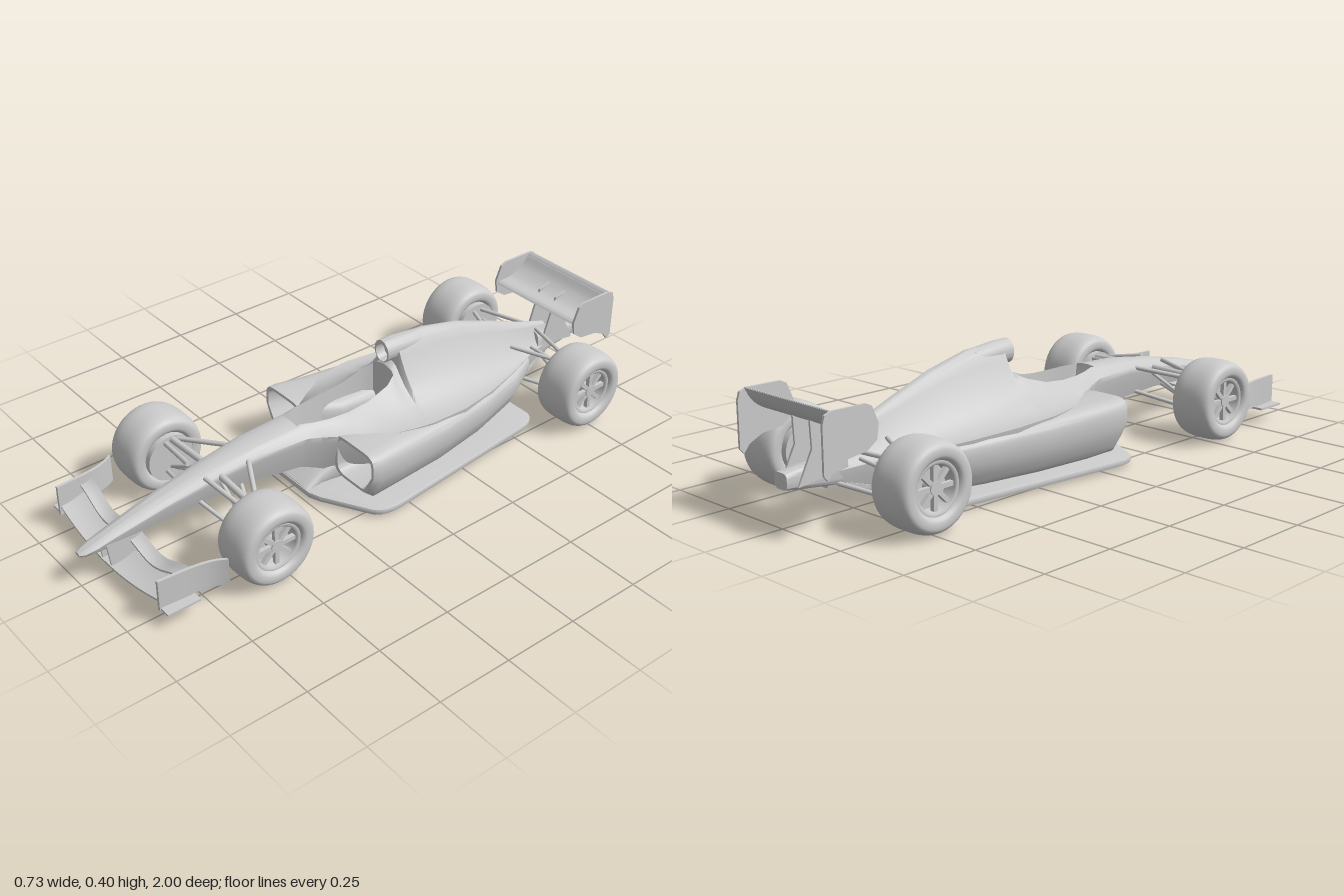
import * as THREE from 'three';
import { toCreasedNormals, mergeVertices } from 'three/addons/utils/BufferGeometryUtils.js';

const mat = new THREE.MeshStandardMaterial({ color: 0xcccccc });
const thin = new THREE.MeshStandardMaterial({ color: 0xcccccc, side: THREE.DoubleSide });
const V = (x, y, z) => new THREE.Vector3(x, y, z);

export function createModel() {
  const model = new THREE.Group();
  const add = (name, geo, m = mat, parent = model) => {
    const mesh = new THREE.Mesh(geo, m);
    mesh.name = name;
    parent.add(mesh);
    return mesh;
  };
  const crease = (geo, angle = 0.7) => toCreasedNormals(geo, angle);

  // Skin closed rings (clockwise seen from the front), capped at both ends
  function loft(rings, mirrored = false) {
    const n = rings[0].length, pos = [], idx = [];
    rings.flat().forEach(p => pos.push(p.x, p.y, p.z));
    for (let i = 0; i < rings.length - 1; i++) for (let j = 0; j < n; j++) {
      const a = i * n + j, b = i * n + (j + 1) % n;
      idx.push(a, b, a + n, b, b + n, a + n);
    }
    [0, rings.length - 1].forEach((r, end) => {
      const c = rings[r].reduce((s, p) => s.add(p), V(0, 0, 0)).divideScalar(n);
      const k = pos.length / 3;
      pos.push(c.x, c.y, c.z);
      for (let j = 0; j < n; j++) {
        const a = r * n + j, b = r * n + (j + 1) % n;
        if (end) idx.push(k, a, b); else idx.push(k, b, a);
      }
    });
    if (mirrored) { for (let i = 0; i < pos.length; i += 3) pos[i] *= -1; idx.reverse(); }
    const g = new THREE.BufferGeometry();
    g.setAttribute('position', new THREE.Float32BufferAttribute(pos, 3));
    g.setIndex(idx);
    return crease(g);
  }
  // Superellipse ring; taper pulls the lower half inwards
  function oval(z, cx, cy, hw, hh, e = 2, taper = 0) {
    const f = v => Math.sign(v) * Math.abs(v) ** (2 / e);
    return Array.from({ length: 40 }, (_, i) => {
      const t = i / 40 * Math.PI * 2, u = f(Math.cos(t));
      return V(cx + hw * f(Math.sin(t)) - taper * Math.max(0, -u) * Math.max(0, Math.sin(t)), cy + hh * u, z);
    });
  }
  // Outline in (z, y), extruded across x and centred on x
  function plate(points, x, width, curved = false) {
    const pts = points.map(p => new THREE.Vector2(...p));
    const shape = new THREE.Shape(curved ? new THREE.SplineCurve([...pts, pts[0]]).getPoints(50) : pts);
    const g = new THREE.ExtrudeGeometry(shape, { depth: width, bevelEnabled: false });
    return crease(g.rotateY(-Math.PI / 2).translate(x + width / 2, 0, 0), 0.6);
  }
  function bend(geo, rule) {
    const p = geo.attributes.position, v = V(0, 0, 0);
    for (let i = 0; i < p.count; i++) { v.fromBufferAttribute(p, i); rule(v); p.setXYZ(i, v.x, v.y, v.z); }
    geo.deleteAttribute('normal'); geo.deleteAttribute('uv');
    return crease(mergeVertices(geo), 0.8);
  }
  function rod(name, a, b, r, parent = model) {
    const d = b.clone().sub(a);
    const m = add(name, new THREE.CylinderGeometry(r, r, d.length(), 12), mat, parent);
    m.position.copy(a).addScaledVector(d, 0.5);
    m.quaternion.setFromUnitVectors(V(0, 1, 0), d.normalize());
  }

  // Nose, cockpit and engine cover: one skin from tip to tail
  // z, top, crown drop, crown half-width, waist half-width, waist y, keel ratio, keel y, curve a, curve b, cockpit depth
  const nose = [
    [1.00, .124, .002, .006, .012, .119, .8, .113, .6, 1, 0],
    [.985, .13, .003, .011, .022, .121, .8, .112, .6, 1, 0],
    [.95, .141, .004, .015, .028, .128, .8, .112, .6, 1, 0],
    [.88, .16, .005, .018, .032, .145, .8, .113, .6, 1, 0],
    [.72, .2, .006, .025, .042, .178, .7, .125, .6, 1, 0],
    [.55, .232, .006, .032, .052, .206, .65, .13, .6, 1, 0],
    [.40, .252, .006, .038, .062, .222, .65, .125, .6, 1, 0],
    [.24, .258, .005, .038, .074, .222, .65, .105, .7, 1, 0],
    [.225, .257, .003, .036, .076, .221, .65, .1, .7, 1, .09],
    [.18, .254, .003, .052, .086, .212, .65, .08, .75, 1, .13],
  ];
  const cover = [
    [.13, .25, .003, .061, .105, .203, .7, .06, .8, 1, .14],
    [.06, .249, .003, .067, .16, .203, .7, .04, .9, 1.3, .14],
    [-.02, .256, .003, .068, .2, .202, .8, .04, 1, 1.7, .14],
    [-.10, .28, .003, .064, .22, .2, .85, .04, 1, 2.1, .15],
    [-.135, .298, .004, .05, .225, .199, .85, .04, 1, 2.3, .15],
    [-.14, .31, .01, .04, .226, .199, .85, .04, 1, 2.3, 0],
    [-.16, .325, .015, .036, .228, .198, .85, .04, 1, 2.4, 0],
    [-.17, .4, .025, .032, .228, .198, .85, .04, 1, 2.6, 0],
    [-.30, .39, .022, .03, .222, .19, .85, .04, 1, 2.5, 0],
    [-.45, .355, .02, .025, .185, .176, .85, .04, 1, 2.3, 0],
    [-.60, .3, .015, .02, .13, .16, .8, .045, 1, 2, 0],
    [-.75, .24, .01, .015, .065, .145, .8, .075, 1, 1.7, 0],
    [-.86, .205, .006, .01, .032, .135, .8, .09, 1, 1.5, 0],
  ];
  const bodyRing = ([z, T, k, c, W, S, f, B, a, b, d]) => {
    const half = [0, .35, .65, .88, .97].map(u => V(c * u, T - k * u * u - d, z));
    for (let i = 0; i <= 16; i++) {
      const u = i / 16;
      half.push(V(c + (W - c) * u ** a, S + (T - k - S) * (1 - u) ** b, z));
    }
    for (let i = 1; i <= 6; i++) half.push(V(W * (1 + (f - 1) * (i / 6) ** 1.3), S + (B - S) * i / 6, z));
    half.push(V(W * f * .5, B, z), V(0, B, z));
    return [...half, ...half.slice(1, -1).reverse().map(p => V(-p.x, p.y, z))];
  };
  add('body', loft([...nose, ...cover].map(bodyRing)));

  // Air intake above the cockpit
  add('airbox', loft([
    oval(-.16, 0, .36, .025, .028), oval(-.128, 0, .358, .028, .031),
    oval(-.128, 0, .363, .034, .039), oval(-.18, 0, .363, .037, .038), oval(-.28, 0, .352, .033, .038),
  ]));

  // Sidepods with recessed inlets: z, outer x, top y, bottom y
  const pod = [[.13, .275, .21, .06], [.1, .28, .209, .035], [0, .267, .203, .025], [-.2, .25, .194, .025],
    [-.4, .212, .178, .025], [-.6, .148, .158, .025], [-.72, .085, .146, .06]];
  for (const right of [false, true]) {
    const outer = pod.map(([z, w, t, b], i) => {
      const inner = i < 2 ? .085 : .03;
      return oval(z, (w + inner) / 2, (t + b) / 2, (w - inner) / 2, (t - b) / 2, 5, .035);
    });
    add(right ? 'rightSidepod' : 'leftSidepod', loft([
      oval(-.06, .17, .135, .05, .05, 5, .03), oval(.13, .182, .135, .083, .065, 5, .035), ...outer,
    ], right));
  }

  // Flat floor and splitter
  const floor = new THREE.Shape();
  floor.moveTo(0, -.235);
  [[.09, -.235], [.13, -.22], [.28, -.135]].forEach(p => floor.lineTo(...p));
  floor.quadraticCurveTo(.312, -.11, .305, -.04);
  floor.lineTo(.245, .53);
  floor.quadraticCurveTo(.235, .605, .19, .605);
  floor.lineTo(-.19, .605);
  floor.quadraticCurveTo(-.235, .605, -.245, .53);
  floor.lineTo(-.305, -.04);
  floor.quadraticCurveTo(-.312, -.11, -.28, -.135);
  [[-.13, -.22], [-.09, -.235]].forEach(p => floor.lineTo(...p));
  const floorGeo = new THREE.ExtrudeGeometry(floor, { depth: .012, bevelSize: .004, bevelThickness: .004, bevelSegments: 2 });
  add('floor', crease(floorGeo.rotateX(-Math.PI / 2).translate(0, .014, 0), .6));
  add('splitter', loft([oval(.235, 0, .022, .08, .01, 4), oval(.17, 0, .04, .075, .03, 4), oval(.1, 0, .06, .09, .045, 4)]));

  // Wheels, outer face towards +x
  function wheel(name, side, z) {
    const g = new THREE.Group();
    g.name = name;
    const profile = Array.from({ length: 37 }, (_, i) => {
      const t = -Math.PI + i / 36 * Math.PI * 2, f = v => Math.sign(v) * Math.abs(v) ** .7;
      return new THREE.Vector2(.1025 + .0315 * f(Math.cos(t)), .074 * f(Math.sin(t)));
    });
    add('tyre', new THREE.LatheGeometry(profile, 56).rotateZ(-Math.PI / 2), mat, g);
    const rim = [[.064, .02], [.066, .056], [.072, .062], [.08, .06]].map(p => new THREE.Vector2(...p));
    add('rim', new THREE.LatheGeometry(rim, 48).rotateZ(-Math.PI / 2), thin, g);
    const disc = (n, r, w, x) => add(n, new THREE.CylinderGeometry(r, r, w, 40).rotateZ(Math.PI / 2).translate(x, 0, 0), mat, g);
    disc('wheelBack', .073, .02, .01);
    disc('hub', .02, .045, .034);
    disc('brakeDrum', .08, .06, -.053);
    for (let i = 0; i < 8; i++)
      add('spoke', new THREE.BoxGeometry(.014, .054, .014).translate(.046, .042, 0).rotateX(i * Math.PI / 4), mat, g);
    g.position.set(side * .291, .135, z);
    if (side < 0) g.rotation.y = Math.PI;
    model.add(g);
  }

  for (const s of [1, -1]) {
    const label = s > 0 ? 'left' : 'right';
    wheel(label + 'FrontWheel', s, .545);
    wheel(label + 'RearWheel', s, -.745);

    // Suspension arms: inner x y z, outer x y z, radius
    [[.045, .222, .43, .215, .195, .52, .008], [.045, .222, .585, .215, .195, .56, .008],
      [.04, .205, .53, .215, .2, .535, .011], [.03, .135, .45, .215, .09, .53, .007],
      [.03, .135, .6, .215, .09, .56, .007], [.04, .19, .53, .215, .1, .545, .006],
      [.05, .2, -.66, .215, .19, -.735, .007], [.02, .2, -.81, .215, .19, -.765, .007],
      [.05, .16, -.76, .215, .15, -.77, .006], [.07, .09, -.67, .215, .08, -.735, .007],
      [.025, .1, -.83, .215, .08, -.775, .007],
    ].forEach(([a, b, c, d, e, f, r]) => rod('suspensionArm', V(s * a, b, c), V(s * d, e, f), r));

    // Front wing endplate, flaring out at the rear
    add(label + 'FrontEndplate', bend(new THREE.BoxGeometry(.01, .092, .21, 1, 6, 14), v => {
      const t = (.105 - v.z) / .21;
      v.x = s * (.277 + .014 * t + .028 * t ** 5) + v.x;
      v.y += .106 - (t < .5 ? .012 * (1 - t) * (v.y < 0 ? 1 : 0) : 0);
      v.z += .803;
    }));
    add(label + 'EndplateFoot', new THREE.BoxGeometry(.045, .007, .11).translate(s * .297, .054, .85));
    // Front wing mounting pylon
    add(label + 'NosePylon', plate([[.91, .045], [.92, .125], [.8, .15], [.8, .055]], s * .025, .007));

    // Rear wing endplate and pylon
    add(label + 'RearEndplate', plate([[-.808, .3], [-.83, .352], [-.85, .362], [-.965, .363], [-.99, .355], [-.998, .33],
      [-.998, .19], [-.985, .175], [-.965, .2], [-.92, .222], [-.85, .23], [-.815, .255]], s * .187, .008));
    add(label + 'RearPylon', plate([[-.82, .14], [-.875, .31], [-.925, .32], [-.92, .22], [-.97, .12]], s * .038, .007));
  }

  // Front wing main plane and upper flap
  const plane = (name, width, chord, z, height, rise) =>
    add(name, bend(new THREE.BoxGeometry(width, .007, chord, 32, 1, 6), v => {
      const u = Math.abs(v.x) / .27;
      v.y += height(u) + rise * (.5 - v.z / chord) ** 2;
      v.z += z + .012 * (1 - u * u);
    }));
  plane('frontWing', .55, .085, .86, u => .043 + .032 * u * u, .018);
  plane('frontFlap', .55, .04, .81, u => .108 + .012 * u * u - .03 * Math.sin(Math.PI * u) ** 2, .012);

  // Rear wing aerofoil, lower plane and tail structure
  add('rearWing', plate([[-.815, .287], [-.83, .296], [-.88, .3], [-.93, .325], [-.965, .362], [-.972, .358],
    [-.945, .318], [-.895, .288], [-.84, .28]], 0, .37, true));
  add('rearFlap', plate([[-.955, .352], [-.968, .363], [-.975, .363], [-.965, .345]], 0, .37));
  add('tailStructure', loft([oval(-.8, 0, .14, .045, .055, 4), oval(-.87, 0, .135, .035, .038, 4),
    oval(-.96, 0, .137, .028, .03, 4), oval(-.999, 0, .138, .028, .024, 4)]));
  add('diffuser', bend(new THREE.BoxGeometry(.22, .012, .24, 8, 1, 8), v => {
    const t = (.12 - v.z) / .24;
    v.x *= 1 - .6 * t;
    v.y += .03 + .065 * t;
    v.z -= .69;
  }));
  return model;
}
